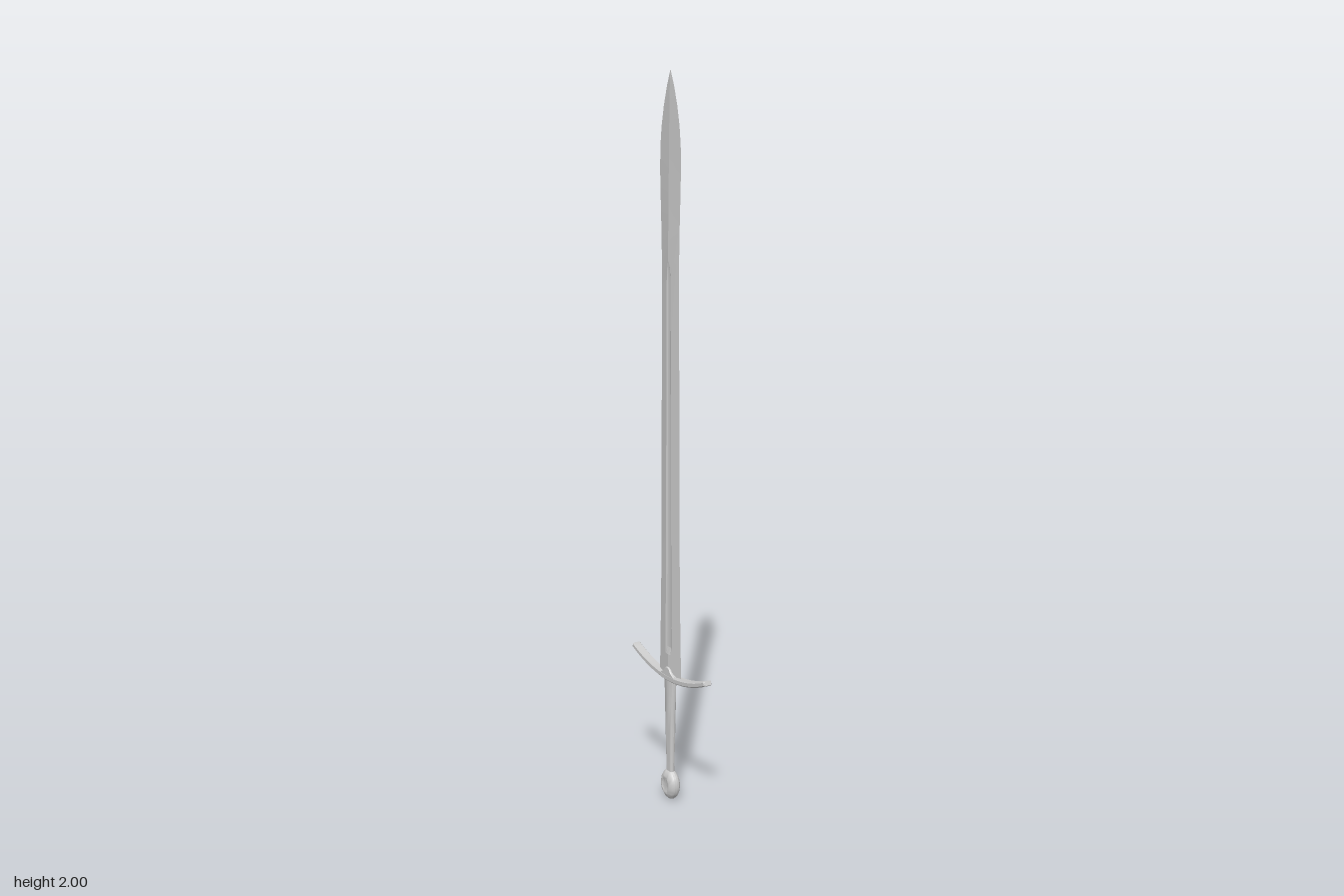
import * as THREE from 'three';
import { toCreasedNormals } from 'three/addons/utils/BufferGeometryUtils.js';

const material = new THREE.MeshStandardMaterial({ color: 0xcccccc });

// Skin a list of rings (each counter-clockwise about the direction of travel) and cap both ends.
function loft(rings) {
  const n = rings[0].length, pos = rings.flat(), index = [];
  const centre = ring => ring.reduce((s, p) => s.map((v, k) => v + p[k] / n), [0, 0, 0]);
  const last = (rings.length - 1) * n;
  const c0 = pos.push(centre(rings[0])) - 1;
  const c1 = pos.push(centre(rings[rings.length - 1])) - 1;
  for (let j = 0; j < n; j++) {
    const k = (j + 1) % n;
    for (let i = 0; i < last; i += n) index.push(i + j, i + k, i + n + k, i + j, i + n + k, i + n + j);
    index.push(c0, k, j, c1, last + j, last + k);
  }
  const g = new THREE.BufferGeometry();
  g.setAttribute('position', new THREE.Float32BufferAttribute(pos.flat(), 3));
  g.setIndex(index);
  return g;
}

function part(name, geometry, crease = 0.5) {
  const mesh = new THREE.Mesh(toCreasedNormals(geometry, crease), material);
  mesh.name = name;
  return mesh;
}

// Diamond section with a groove down the middle of each face.
// Rows: height, half width, half thickness, groove half width, groove depth
function makeBlade() {
  const rows = [
    [0.362, 0.056, 0.0085, 0.017, 0], [0.43, 0.054, 0.0085, 0.017, 0],
    [0.45, 0.0535, 0.0085, 0.017, 0.004], [0.6, 0.049, 0.0083, 0.015, 0.004],
    [0.8, 0.047, 0.008, 0.013, 0.004], [1.1, 0.045, 0.0078, 0.012, 0.004],
    [1.45, 0.043, 0.0073, 0.010, 0.0035], [1.49, 0.043, 0.0072, 0.008, 0.003],
    [1.512, 0.043, 0.0071, 0.003, 0], [1.6, 0.0455, 0.0067, 0.003, 0],
    [1.68, 0.049, 0.006, 0.003, 0], [1.75, 0.0515, 0.005, 0.003, 0],
    [1.81, 0.050, 0.0043, 0.003, 0], [1.86, 0.044, 0.0037, 0.003, 0],
    [1.91, 0.033, 0.003, 0.002, 0], [1.96, 0.0175, 0.002, 0.001, 0],
    [2.0, 0.0004, 0.0003, 0.0001, 0],
  ];
  return loft(rows.map(([y, w, t, f, d]) => {
    const face = z => t * (1 - z / w);
    const floor = d ? face(f) - d * 0.6 : face(f * 0.6);
    const centre = d ? face(f) - d * 0.8 : t;
    const half = [[0, w], [face(f), f], [floor, f * 0.6], [centre, 0], [floor, -f * 0.6], [face(f), -f]];
    return [...half, ...half.map(([x, z]) => [-x, -z])].map(([x, z]) => [x, y, z]);
  }));
}

// Curved bar of bevelled rectangular section, sweeping up towards both tips.
function makeGuard() {
  const rings = [], steps = 24, W = 0.0125;
  const addRing = (u, s) => {
    const z = 0.19 * u, y = 0.362 + 0.042 * u * u;
    const tilt = Math.atan(2 * 0.042 * u / 0.19);
    const h = 0.0085 - 0.0015 * Math.abs(u), b = 0.003;
    const half = [[W, -h + b], [W, h - b], [W - b, h], [-W + b, h]];
    const ring = [...half, ...half.map(([x, v]) => [-x, -v])];
    rings.push(ring.map(([x, v]) => [x * s, y + v * s * Math.cos(tilt), z - v * s * Math.sin(tilt)]));
  };
  addRing(-1, 0.8);
  for (let i = 0; i <= steps; i++) addRing((i / steps * 2 - 1) * 0.985, 1);
  addRing(1, 0.8);
  return loft(rings);
}

// Small pointed swelling over the middle of the guard.
function makeGuardPeak() {
  const s = new THREE.Shape();
  s.moveTo(-0.034, 0.362);
  s.lineTo(0.034, 0.362);
  s.lineTo(0.032, 0.371);
  s.quadraticCurveTo(0.018, 0.376, 0.012, 0.386);
  s.quadraticCurveTo(0, 0.398, -0.012, 0.386);
  s.quadraticCurveTo(-0.018, 0.376, -0.032, 0.371);
  const g = new THREE.ExtrudeGeometry(s, {
    depth: 0.018, bevelThickness: 0.003, bevelSize: 0.002, bevelSegments: 1, curveSegments: 6,
  });
  return g.translate(0, 0, -0.009).rotateY(Math.PI / 2);
}

// Tapering grip of flattened round section.
function makeGrip() {
  const rows = [[0.07, 0.014, 0.008], [0.13, 0.0155, 0.0085], [0.2, 0.018, 0.0095], [0.28, 0.021, 0.010], [0.362, 0.024, 0.0105]];
  const soften = v => Math.sign(v) * Math.abs(v) ** 0.75;
  return loft(rows.map(([y, rz, rx]) => Array.from({ length: 16 }, (_, i) => {
    const a = i / 16 * Math.PI * 2;
    return [rx * soften(Math.sin(a)), y, rz * soften(Math.cos(a))];
  })));
}

// Wheel pommel with bevelled faces, turned about the x axis.
function makePommel() {
  const half = [[0, 0.016], [0.014, 0.016], [0.018, 0.0185], [0.022, 0.018], [0.031, 0.012], [0.0355, 0.006]];
  const profile = [...half.map(([r, x]) => [r, -x]), [0.037, 0], ...half.slice().reverse()];
  const g = new THREE.LatheGeometry(profile.map(([r, x]) => new THREE.Vector2(r, x)), 28);
  return g.rotateZ(Math.PI / 2).scale(1, 1.2, 1).translate(0, 0.0444, 0);
}

export function createModel() {
  const sword = new THREE.Group();
  sword.name = 'sword';
  sword.add(
    part('blade', makeBlade(), 0.15),
    part('guard', makeGuard()),
    part('guardPeak', makeGuardPeak()),
    part('grip', makeGrip(), 0.8),
    part('pommel', makePommel(), 0.6),
  );
  return sword;
}
